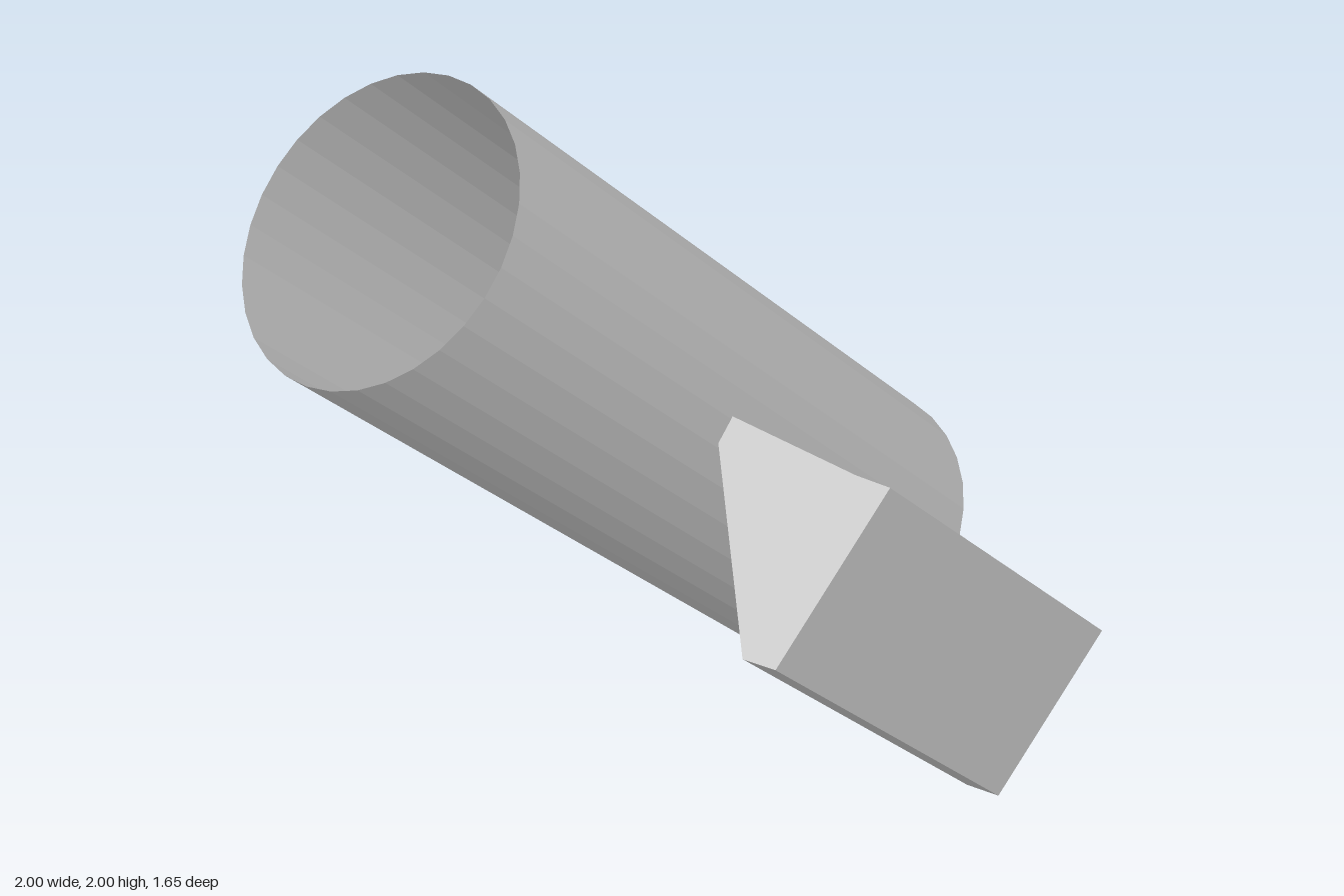
import * as THREE from 'three';

const RADIUS = 0.385, LENGTH = 2.057, AXIS_Z = -0.055;
const FIN_LENGTH = 1.1;

const material = new THREE.MeshStandardMaterial({
  color: 0xcccccc, flatShading: true, side: THREE.DoubleSide,
});

// Block with an (x, z) cross-section, running up the tube from its closed end
function sideBlock(name, section) {
  const shape = new THREE.Shape(section.map(([x, z]) => new THREE.Vector2(x, -z)));
  const geometry = new THREE.ExtrudeGeometry(shape, { depth: FIN_LENGTH, bevelEnabled: false });
  geometry.rotateX(-Math.PI / 2);
  geometry.translate(0, -LENGTH / 2, 0);
  const mesh = new THREE.Mesh(geometry, material);
  mesh.name = name;
  return mesh;
}

export function createModel() {
  const model = new THREE.Group();
  model.name = 'tiltedTube';

  // Everything is built upright, then leaned over by 45 degrees
  const body = new THREE.Group();
  body.name = 'body';
  body.position.y = 1;
  body.rotation.z = Math.PI / 4;
  model.add(body);

  // Thin tube, open at the upper end
  const tube = new THREE.Mesh(
    new THREE.CylinderGeometry(RADIUS, RADIUS, LENGTH, 32, 1, true), material);
  tube.name = 'tube';
  tube.position.z = AXIS_Z;
  body.add(tube);

  // Flat disc closing the lower end
  const cap = new THREE.Mesh(new THREE.CircleGeometry(RADIUS, 32), material);
  cap.name = 'endCap';
  cap.rotation.set(Math.PI / 2, 0, Math.PI / 2);
  cap.position.set(0, -LENGTH / 2, AXIS_Z);
  body.add(cap);

  // Flared blocks on both sides of the tube
  body.add(sideBlock('frontBlock', [
    [0.011, 0.328], [0.082, 0.321], [0.118, 0.72], [0.135, 0.82], [-0.356, 0.825], [-0.378, 0.73],
  ]));
  body.add(sideBlock('backBlock', [
    [0.082, -0.431], [0.16, -0.405], [0.28, -0.803], [-0.33, -0.825], [-0.356, -0.72],
  ]));

  return model;
}
